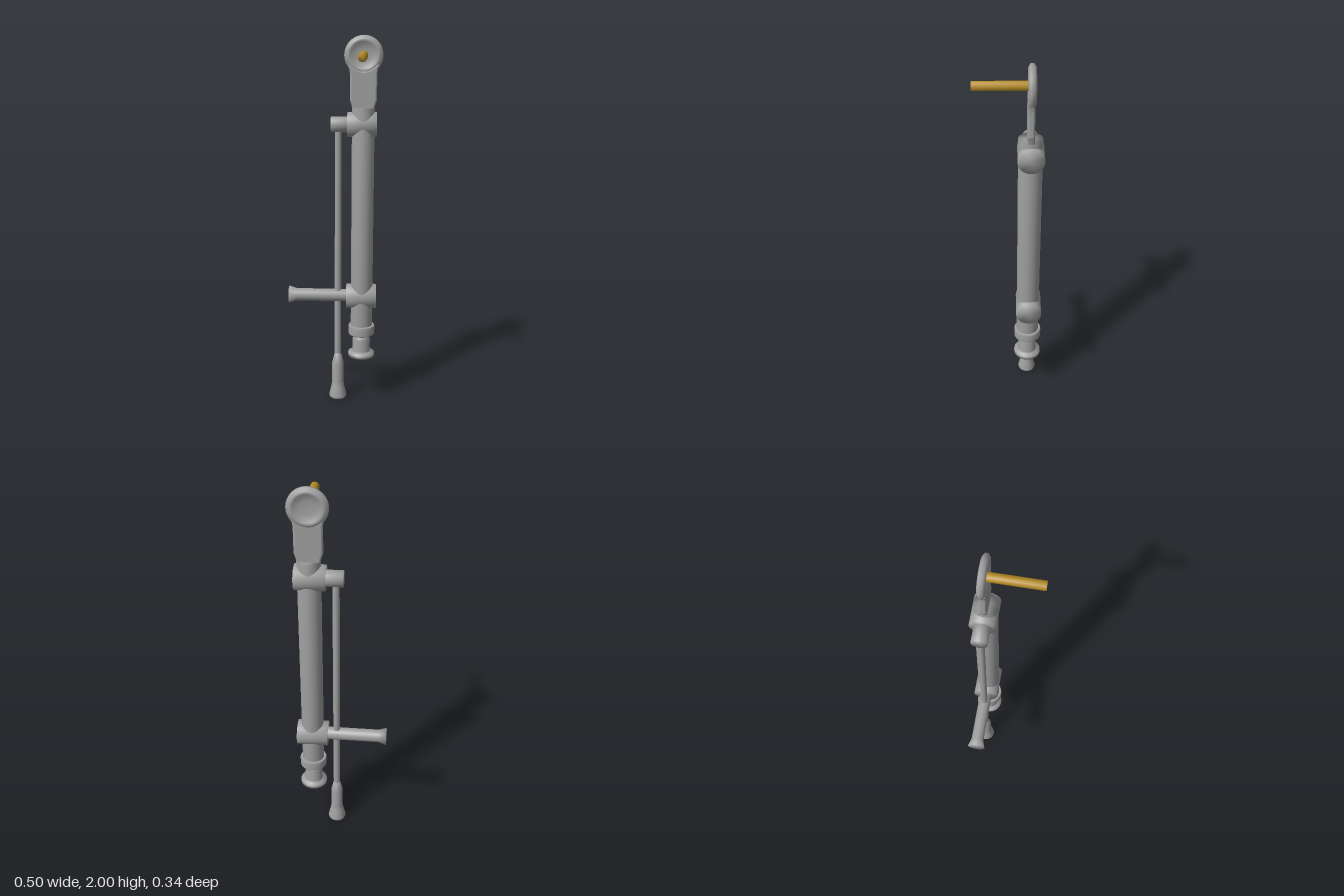
import * as THREE from 'three';

const X = 0.149, Z = -0.099; // main axis of the tube
const grey = new THREE.MeshStandardMaterial({ color: 0xa0a0a0 });
const brass = new THREE.MeshStandardMaterial({ color: 0xb48c26 });

// Solid of revolution; profile holds [radius, distance along axis]
function turned(name, profile, axis, position, sides = 32, material = grey) {
  const points = profile.map(([r, d]) => new THREE.Vector2(r, d));
  const geometry = new THREE.LatheGeometry(points, sides);
  if (axis === 'x') geometry.rotateZ(-Math.PI / 2);
  if (axis === 'z') geometry.rotateX(Math.PI / 2);
  const mesh = new THREE.Mesh(geometry, material);
  mesh.name = name;
  mesh.position.set(...position);
  return mesh;
}

const rod = (r, from, to) => [[0, from], [r, from], [r, to], [0, to]];

// Flat blade that joins the eye to the tube
function createBlade() {
  const bevel = 0.01;
  const shape = new THREE.Shape();
  shape.moveTo(-0.047, 1.625);
  shape.lineTo(0.047, 1.625);
  shape.quadraticCurveTo(0.05, 1.65, 0.06, 1.675);
  shape.lineTo(0.06, 1.8);
  shape.quadraticCurveTo(0.062, 1.83, 0.07, 1.846);
  shape.absarc(0, 1.9, 0.088, -0.66, -Math.PI + 0.66, true);
  shape.quadraticCurveTo(-0.062, 1.83, -0.06, 1.8);
  shape.lineTo(-0.06, 1.675);
  shape.quadraticCurveTo(-0.05, 1.65, -0.047, 1.625);
  const geometry = new THREE.ExtrudeGeometry(shape, {
    depth: 0.014, bevelThickness: bevel, bevelSize: bevel, bevelSegments: 3, curveSegments: 16,
  });
  const mesh = new THREE.Mesh(geometry, grey);
  mesh.name = 'blade';
  mesh.position.set(X, 0, Z - 0.007);
  return mesh;
}

export function createModel() {
  const group = new THREE.Group();
  group.name = 'crankTool';

  // Dished eye at the top, hollow on both faces
  const dish = [[0, 0.005], [0.035, 0.006], [0.055, 0.01], [0.068, 0.017], [0.076, 0.019], [0.084, 0.018], [0.1, 0.008]];
  const eye = [...dish.map(([r, d]) => [r, -d]), ...[...dish].reverse()];
  group.add(
    turned('eye', eye, 'z', [X, 1.9, Z - 0.003], 40),
    turned('pin', rod(0.023, -0.098, 0.172), 'z', [X, 1.9, 0], 10, brass),
    createBlade(),
  );

  // Main tube with its end flange and knob
  group.add(
    turned('tube', rod(0.059, 0.42, 1.632), 'y', [X, 0, Z]),
    turned('flange', [[0, 0.388], [0.068, 0.388], [0.072, 0.394], [0.072, 0.436], [0.068, 0.443], [0, 0.443]], 'y', [X, 0, Z]),
    turned('knob', [[0, 0.26], [0.072, 0.26], [0.072, 0.28], [0.054, 0.285], [0.048, 0.295],
      [0.048, 0.358], [0.041, 0.374], [0.032, 0.386], [0.032, 0.4], [0, 0.4]], 'y', [X, 0, Z]),
  );

  // Cross collars and the stub that holds the thin rod
  group.add(
    turned('upperCollar', rod(0.065, 0.067, 0.22), 'x', [0, 1.547, Z - 0.003]),
    turned('lowerCollar', rod(0.067, 0.065, 0.228), 'x', [0, 0.607, Z - 0.003]),
    turned('rodStub', rod(0.041, -0.019, 0.08), 'x', [0, 1.547, Z - 0.003]),
  );

  // Side handle with flared tip
  group.add(turned('sideHandle',
    [[0, -0.25], [0.047, -0.25], [0.034, -0.208], [0.034, 0.08], [0, 0.08]], 'x', [0, 0.609, Z - 0.003]));

  // Thin rod ending in a flared grip
  group.add(
    turned('thinRod', rod(0.018, 0.2, 1.53), 'y', [0.019, 0, Z - 0.003], 24),
    turned('grip', [[0, 0], [0.044, 0.002], [0.049, 0.015], [0.036, 0.07], [0.032, 0.1],
      [0.032, 0.21], [0.018, 0.268], [0, 0.268]], 'y', [0.019, 0, Z - 0.003], 24),
  );
  return group;
}
